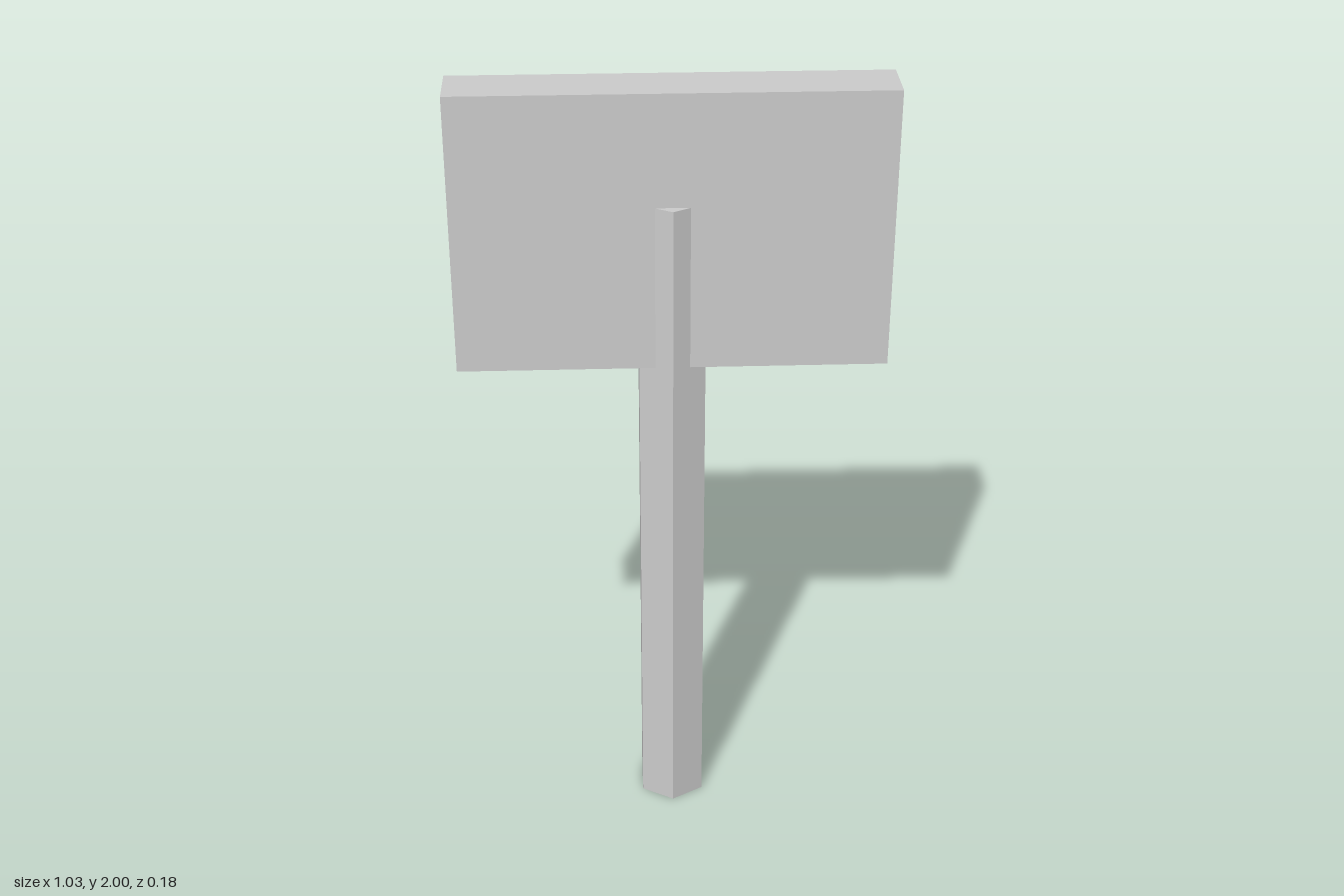
import * as THREE from 'three';

export function createModel() {
  const group = new THREE.Group();
  const material = new THREE.MeshStandardMaterial({ color: 0xcccccc, flatShading: true });

  const add = (name, geometry, bottom, height) => {
    const mesh = new THREE.Mesh(geometry, material);
    mesh.name = name;
    mesh.position.y = bottom + height / 2;
    group.add(mesh);
  };

  // Hexagonal post with edges facing front and back, running up into the board
  const postHeight = 1.725;
  add('post', new THREE.CylinderGeometry(0.092, 0.092, postHeight, 6), 0, postHeight);

  // Thick rectangular sign board
  const boardBottom = 1.312;
  const boardHeight = 2 - boardBottom;
  add('board', new THREE.BoxGeometry(1.032, boardHeight, 0.136), boardBottom, boardHeight);

  return group;
}
